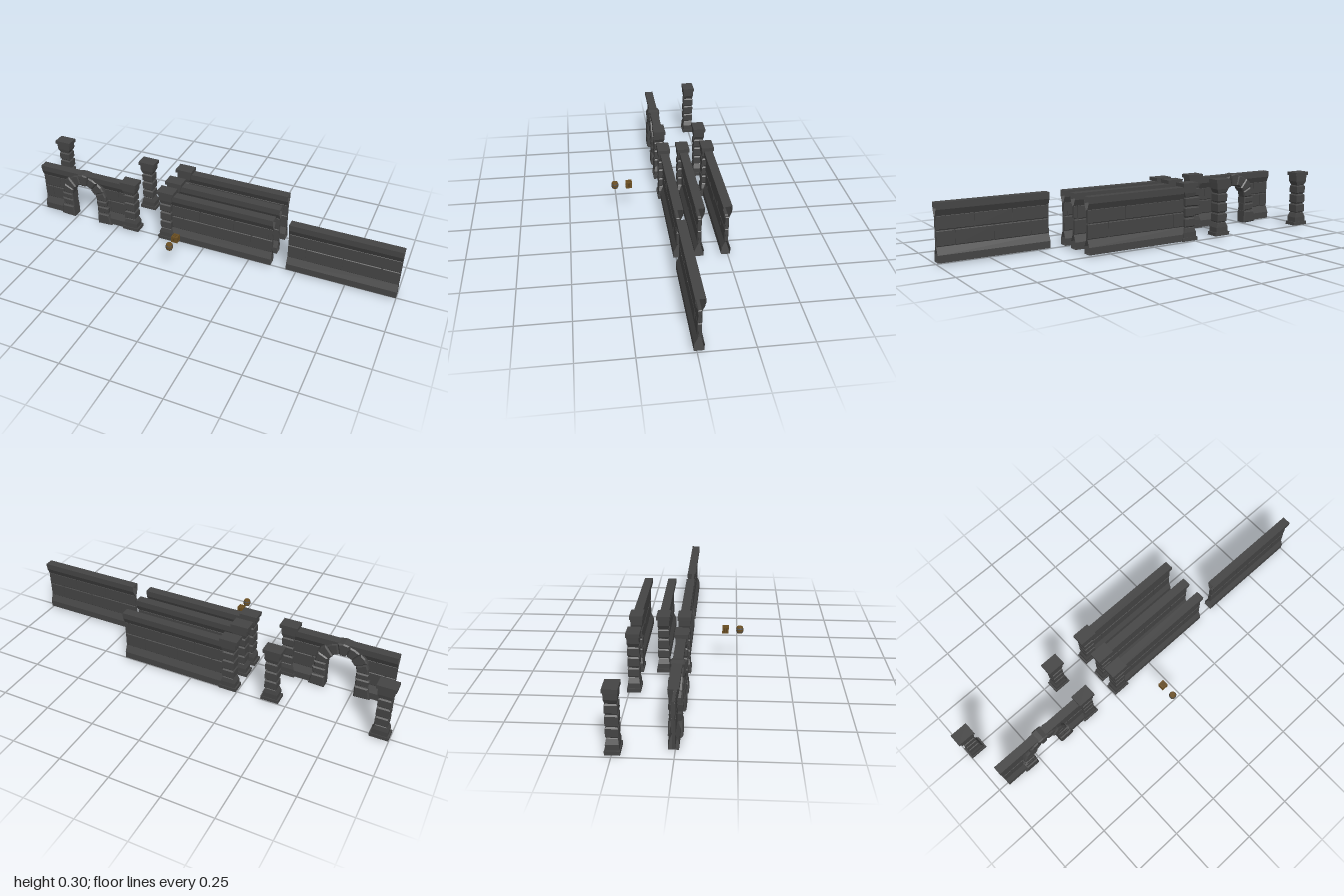
import * as THREE from 'three';

const mat = (color, side = THREE.FrontSide) => new THREE.MeshStandardMaterial({ color, side, flatShading: true });
const stone = mat(0x444444);
const stoneShell = mat(0x444444, THREE.DoubleSide);
const wood = mat(0x6b4f22);
const darkWood = mat(0x4a3518);
const iron = mat(0x4c525c);

function add(parent, name, geometry, material, x = 0, y = 0, z = 0) {
  const mesh = new THREE.Mesh(geometry, material);
  mesh.name = name;
  mesh.position.set(x, y, z);
  parent.add(mesh);
  return mesh;
}

function addGroup(parent, name, x = 0, y = 0, z = 0) {
  const g = new THREE.Group();
  g.name = name;
  g.position.set(x, y, z);
  parent.add(g);
  return g;
}

// Stacked rectangles [y, halfX, halfZ] joined into a solid; openEnds leaves out the x faces
function loft(sections, openEnds = false) {
  const pos = [];
  const quad = (a, b, c, d) => [a, b, c, a, c, d].forEach((p) => pos.push(...p));
  const rings = sections.map(([y, hx, hz]) => [[-hx, y, hz], [hx, y, hz], [hx, y, -hz], [-hx, y, -hz]]);
  for (let i = 0; i < rings.length - 1; i++) {
    const lo = rings[i], hi = rings[i + 1];
    for (let k = 0; k < 4; k += openEnds ? 2 : 1) {
      const n = (k + 1) % 4;
      quad(lo[k], lo[n], hi[n], hi[k]);
    }
  }
  const top = rings[rings.length - 1], bottom = rings[0];
  quad(...top);
  quad(bottom[3], bottom[2], bottom[1], bottom[0]);
  const g = new THREE.BufferGeometry();
  g.setAttribute('position', new THREE.Float32BufferAttribute(pos, 3));
  g.computeVertexNormals();
  return g;
}

// Pillar: base, flared block, chamfered courses, flared block, cap
function pillarGeometry() {
  const s = [[0.009, 0.045, 0.032], [0.027, 0.045, 0.032], [0.027, 0.037, 0.028], [0.052, 0.037, 0.028], [0.074, 0.027, 0.024]];
  for (const [y0, y1] of [[0.077, 0.125], [0.128, 0.179], [0.182, 0.228]]) {
    s.push([y0, 0.024, 0.021], [y0 + 0.006, 0.030, 0.027], [y1 - 0.006, 0.030, 0.027], [y1, 0.024, 0.021]);
  }
  s.push([0.231, 0.027, 0.024], [0.25, 0.036, 0.028], [0.282, 0.037, 0.028], [0.282, 0.045, 0.032], [0.3, 0.045, 0.032]);
  return loft(s);
}

// Wall bands: plinth sloping in to a thin core, then out again to the coping
const plinth = [[0.01, 0.022], [0.045, 0.022], [0.08, 0.006]];
const coping = [[0.215, 0.006], [0.248, 0.02], [0.258, 0.02], [0.258, 0.022], [0.28, 0.022]];

function band(parent, name, profile, x0, x1) {
  const hx = (x1 - x0) / 2;
  add(parent, name, loft(profile.map(([y, hz]) => [y, hx, hz]), true), stoneShell, x0 + hx);
}

// Two staggered rows of chamfered bricks standing out from the core
function bricks(parent, x0, x1, length) {
  [[0.081, 0.152, 0.5], [0.155, 0.22, 0]].forEach(([y0, y1, shift]) => {
    for (let x = x0 - shift * length; x < x1; x += length) {
      const a = Math.max(x, x0) + 0.002, b = Math.min(x + length, x1) - 0.002;
      if (b - a < 0.01) continue;
      const h = (b - a) / 2;
      const g = loft([[y0, h - 0.003, 0.006], [y0 + 0.003, h, 0.009], [y1 - 0.003, h, 0.009], [y1, h - 0.003, 0.006]]);
      add(parent, 'brick', g, stone, a + h);
    }
  });
}

function wall(parent, x0, x1, z) {
  const g = addGroup(parent, 'wall', 0, 0, z);
  band(g, 'wallShell', [...plinth, ...coping], x0, x1);
  bricks(g, x0, x1, 0.185);
}

// Chamfered block cut from a front outline
function slab(points, halfDepth) {
  const bevel = 0.006;
  const g = new THREE.ExtrudeGeometry(new THREE.Shape(points.map((p) => new THREE.Vector2(...p))), {
    depth: 2 * (halfDepth - bevel), bevelThickness: bevel, bevelSize: bevel, bevelOffset: -bevel, bevelSegments: 1,
  });
  return g.translate(0, 0, bevel - halfDepth);
}

function archWall(parent) {
  const g = addGroup(parent, 'archWall', 0, 0, -0.006);
  const x0 = -0.945, x1 = -0.42, cx = -0.688, cy = 0.145;

  // Thin core with the arch cut out
  const core = new THREE.Shape();
  core.moveTo(x0, 0.01);
  core.lineTo(cx - 0.09, 0.01);
  core.lineTo(cx - 0.09, cy);
  core.absarc(cx, cy, 0.09, Math.PI, 0, true);
  core.lineTo(cx + 0.09, 0.01);
  core.lineTo(x1, 0.01);
  core.lineTo(x1, 0.225);
  core.lineTo(x0, 0.225);
  const coreGeo = new THREE.ExtrudeGeometry(core, { depth: 0.012, bevelEnabled: false, curveSegments: 10 });
  add(g, 'wallCore', coreGeo, stone, 0, 0, -0.006);
  band(g, 'coping', coping, x0, x1);
  for (const [a, b] of [[x0, cx - 0.1], [cx + 0.1, x1]]) {
    band(g, 'plinth', plinth, a, b);
    bricks(g, a, b, 0.1);
  }

  // Ring of uneven wedge stones
  const count = 7;
  for (let i = 0; i < count; i++) {
    const a = (i / count) * Math.PI + 0.012, b = ((i + 1) / count) * Math.PI - 0.012;
    const r = i % 2 ? 0.137 : 0.131, inner = i % 2 ? 0.072 : 0.075;
    const at = (rad, t) => [cx + rad * Math.cos(t), cy + rad * Math.sin(t)];
    add(g, 'archStone', slab([at(inner, a), at(r, a), at(r + 0.002, (a + b) / 2), at(r, b), at(inner, b)], i % 2 ? 0.032 : 0.029), stone);
  }

  // Jamb stones, widest at the foot
  const jambs = [[0, 0.066, 0.155, 0.142, 0.032], [0.068, 0.108, 0.137, 0.143, 0.028], [0.11, 0.146, 0.131, 0.136, 0.031]];
  for (const side of [-1, 1]) {
    for (const [y0, y1, low, high, hz] of jambs) {
      const at = (r, y) => [cx + side * r, y];
      add(g, 'jambStone', slab([at(0.074, y0), at(low, y0 + 0.004), at(high, y1), at(0.075, y1)], hz), stone);
    }
  }
}

function crate(parent) {
  const g = addGroup(parent, 'crate', -0.07, 0.169, 0.189);
  add(g, 'crateCore', new THREE.BoxGeometry(0.026, 0.026, 0.026), darkWood);
  const e = 0.0135;
  for (const a of [-e, e]) {
    for (const b of [-e, e]) {
      add(g, 'frameBeam', new THREE.BoxGeometry(0.032, 0.005, 0.005), wood, 0, a, b);
      add(g, 'frameBeam', new THREE.BoxGeometry(0.005, 0.032, 0.005), wood, a, 0, b);
      add(g, 'frameBeam', new THREE.BoxGeometry(0.005, 0.005, 0.032), wood, a, b, 0);
    }
  }
  for (const t of [-0.007, 0, 0.007]) {
    add(g, 'plank', new THREE.BoxGeometry(0.005, 0.024, 0.029), wood, t);
    add(g, 'plank', new THREE.BoxGeometry(0.029, 0.024, 0.005), wood, 0, 0, t);
    add(g, 'plank', new THREE.BoxGeometry(0.005, 0.029, 0.024), wood, t);
  }
}

function barrel(parent) {
  const g = addGroup(parent, 'barrel', -0.07, 0.169, 0.26);
  const profile = [[0, -0.014], [0.012, -0.014], [0.0125, -0.016], [0.0145, -0.016], [0.0175, -0.005],
    [0.0175, 0.005], [0.0145, 0.016], [0.0125, 0.016], [0.012, 0.014], [0, 0.014]];
  add(g, 'barrelStaves', new THREE.LatheGeometry(profile.map((p) => new THREE.Vector2(...p)), 12), wood);
  for (const s of [-1, 1]) {
    const [rTop, rBottom] = s > 0 ? [0.0172, 0.0182] : [0.0182, 0.0172];
    add(g, 'barrelHoop', new THREE.CylinderGeometry(rTop, rBottom, 0.004, 12), iron, 0, s * 0.0075, 0);
  }
}

export function createModel() {
  const model = new THREE.Group();
  model.name = 'wallSet';

  // Free-standing pillars and those at the wall ends
  const pillar = pillarGeometry();
  const spots = [[-0.955, -0.245], [-0.42, -0.225], [-0.415, -0.005], [-0.205, -0.005], [-0.205, -0.106], [-0.205, -0.235]];
  for (const [x, z] of spots) add(model, 'pillar', pillar, stone, x, 0, z);

  // Straight walls
  for (const z of [-0.008, -0.109, -0.238]) wall(model, -0.205, 0.37, z);
  wall(model, 0.45, 1, -0.008);

  archWall(model);
  crate(model);
  barrel(model);
  return model;
}
